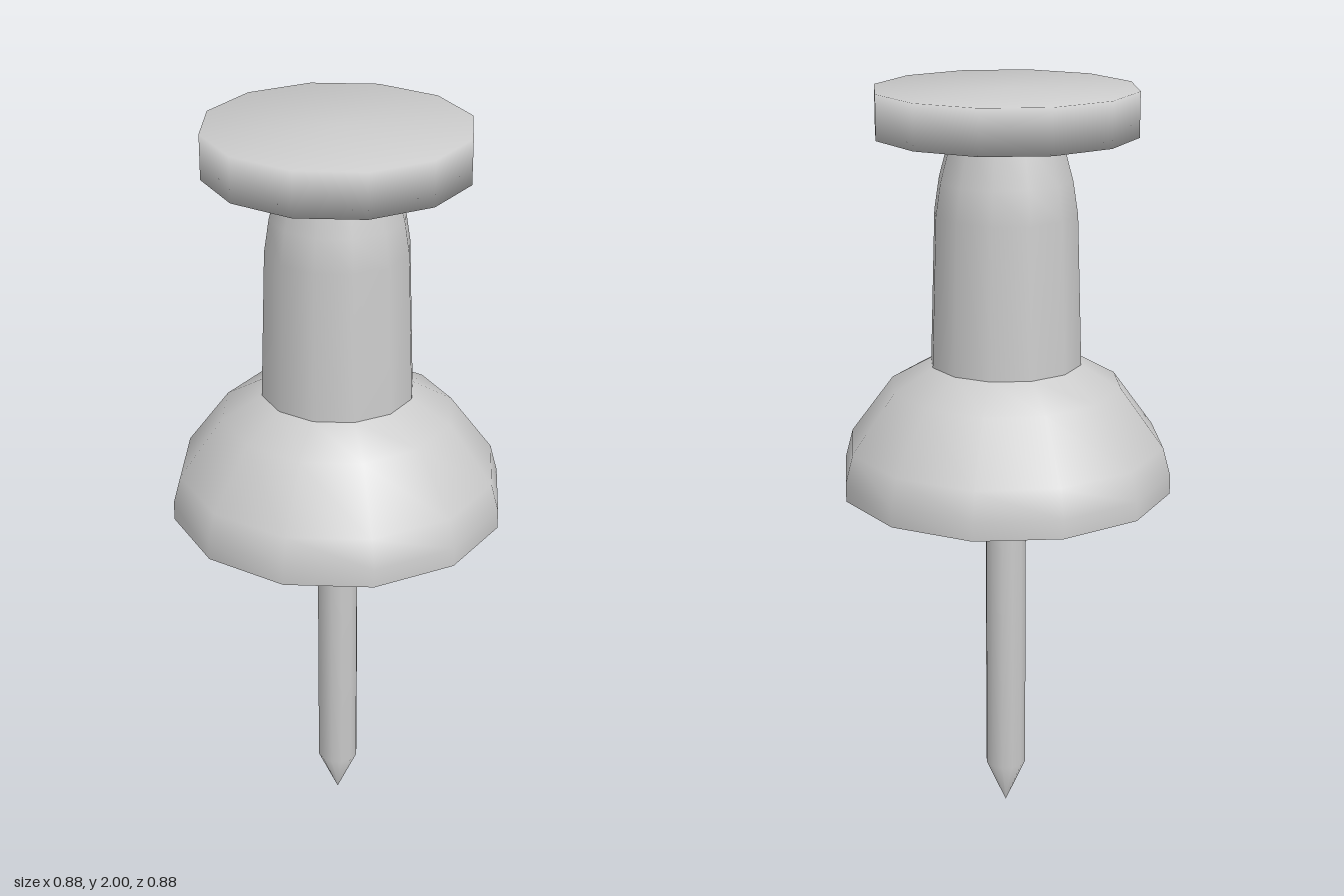
import * as THREE from 'three';

const SIDES = 12;
const material = new THREE.MeshStandardMaterial({ color: 0xcccccc });

// Turned part from [radius, height] points, listed from bottom to top
function turned(name, profile) {
  const points = profile.map(([r, y]) => new THREE.Vector2(r, y));
  const mesh = new THREE.Mesh(new THREE.LatheGeometry(points, SIDES), material);
  mesh.name = name;
  return mesh;
}

export function createModel() {
  const group = new THREE.Group();
  group.name = 'pushPin';

  // Needle with a tapered point
  group.add(turned('needle', [[0, 0], [0.055, 0.125], [0.055, 0.96]]));

  // Flat underside of the flared base
  group.add(turned('baseUnderside', [[0, 0.95], [0.44, 0.95]]));

  // Flared base
  group.add(turned('base', [
    [0.44, 0.95], [0.44, 1.0], [0.42, 1.075], [0.306, 1.23], [0.2, 1.29],
  ]));

  // Grip narrowing towards the head
  group.add(turned('grip', [
    [0.2, 1.29], [0.187, 1.685], [0.174, 1.77], [0.143, 1.885],
  ]));

  // Flat head with soft shading around the rim
  group.add(turned('head', [[0, 1.885], [0.34, 1.885], [0.34, 2], [0, 2]]));

  return group;
}
